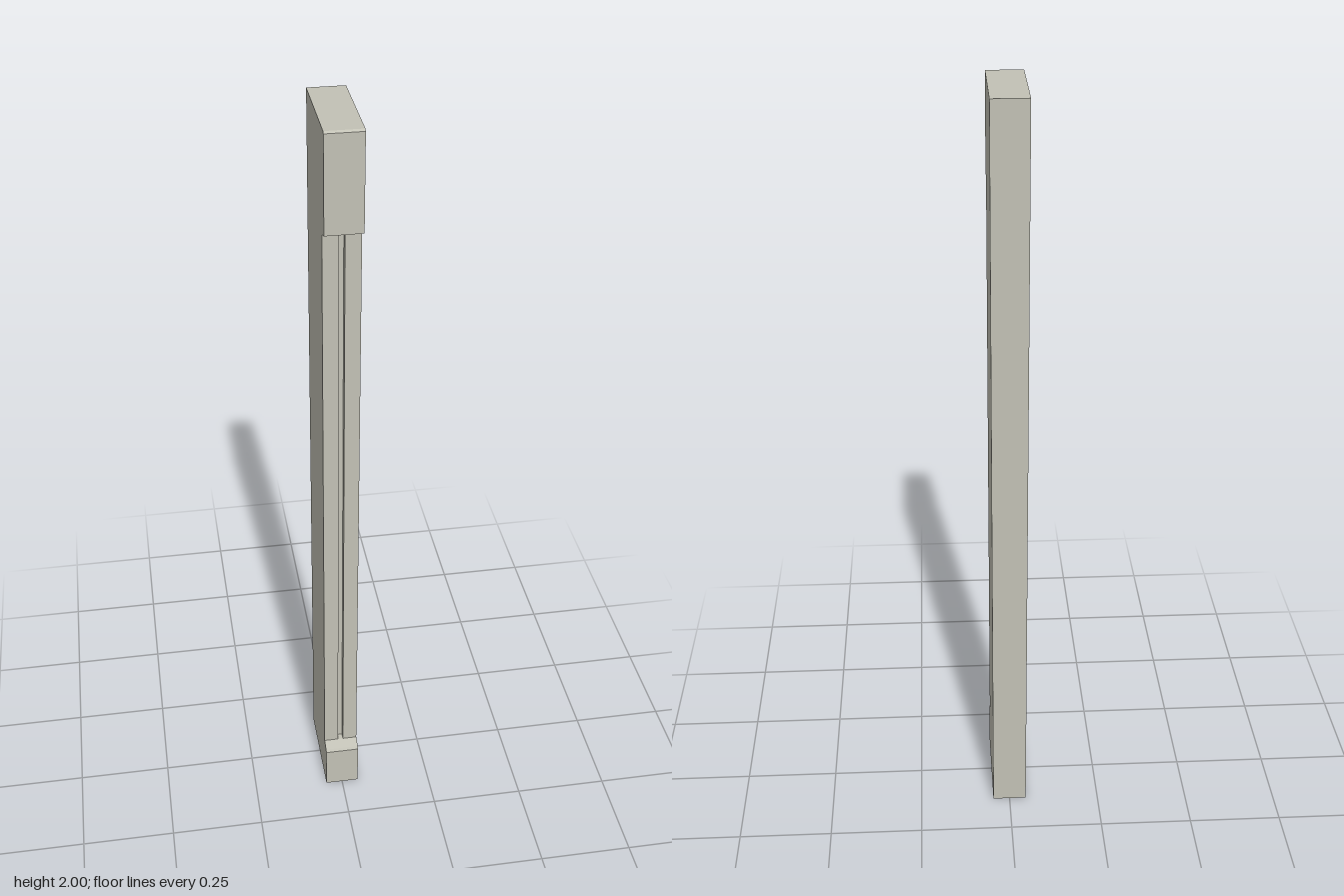
import * as THREE from 'three';

const HALF_W = 0.046, BACK = -0.131, FRONT = 0.131, FACE = 0.1;
const SHAFT_LOW = 0.143, SHAFT_HIGH = 1.745;

const outline = (points) => new THREE.Shape(points.map(([a, b]) => new THREE.Vector2(a, b)));

// Extrude a (z, y) side profile across the full width
function sideBlock(name, points, material) {
  const geo = new THREE.ExtrudeGeometry(outline(points), { depth: HALF_W * 2, bevelEnabled: false });
  geo.translate(0, 0, -HALF_W).rotateY(-Math.PI / 2);
  const mesh = new THREE.Mesh(geo, material);
  mesh.name = name;
  return mesh;
}

export function createModel() {
  const group = new THREE.Group();
  group.name = 'groovedPilaster';
  const stone = new THREE.MeshStandardMaterial({ color: 0xc2c1b5 });
  stone.name = 'paleStone';

  // Base block with a sloping, softened upper lip
  group.add(sideBlock('baseBlock', [
    [BACK, 0], [FRONT, 0], [FRONT, 0.125], [0.126, 0.132], [FACE, SHAFT_LOW], [BACK, SHAFT_LOW],
  ], stone));

  // Head block with a sloping underside and a small bevel on the top front edge
  group.add(sideBlock('headBlock', [
    [BACK, SHAFT_HIGH], [FACE, SHAFT_HIGH], [FRONT, 1.756], [FRONT, 1.996], [0.125, 2], [BACK, 2],
  ], stone));

  // Shaft with a narrow vertical groove down the front
  const g = 0.007, floor = FACE - 0.018;
  const section = outline([
    [-HALF_W, -FACE], [-g, -FACE], [-g, -floor], [g, -floor],
    [g, -FACE], [HALF_W, -FACE], [HALF_W, -BACK], [-HALF_W, -BACK],
  ]);
  const shaftGeo = new THREE.ExtrudeGeometry(section, { depth: SHAFT_HIGH - SHAFT_LOW, bevelEnabled: false });
  shaftGeo.rotateX(-Math.PI / 2).translate(0, SHAFT_LOW, 0);
  const shaft = new THREE.Mesh(shaftGeo, stone);
  shaft.name = 'groovedShaft';
  group.add(shaft);

  return group;
}
